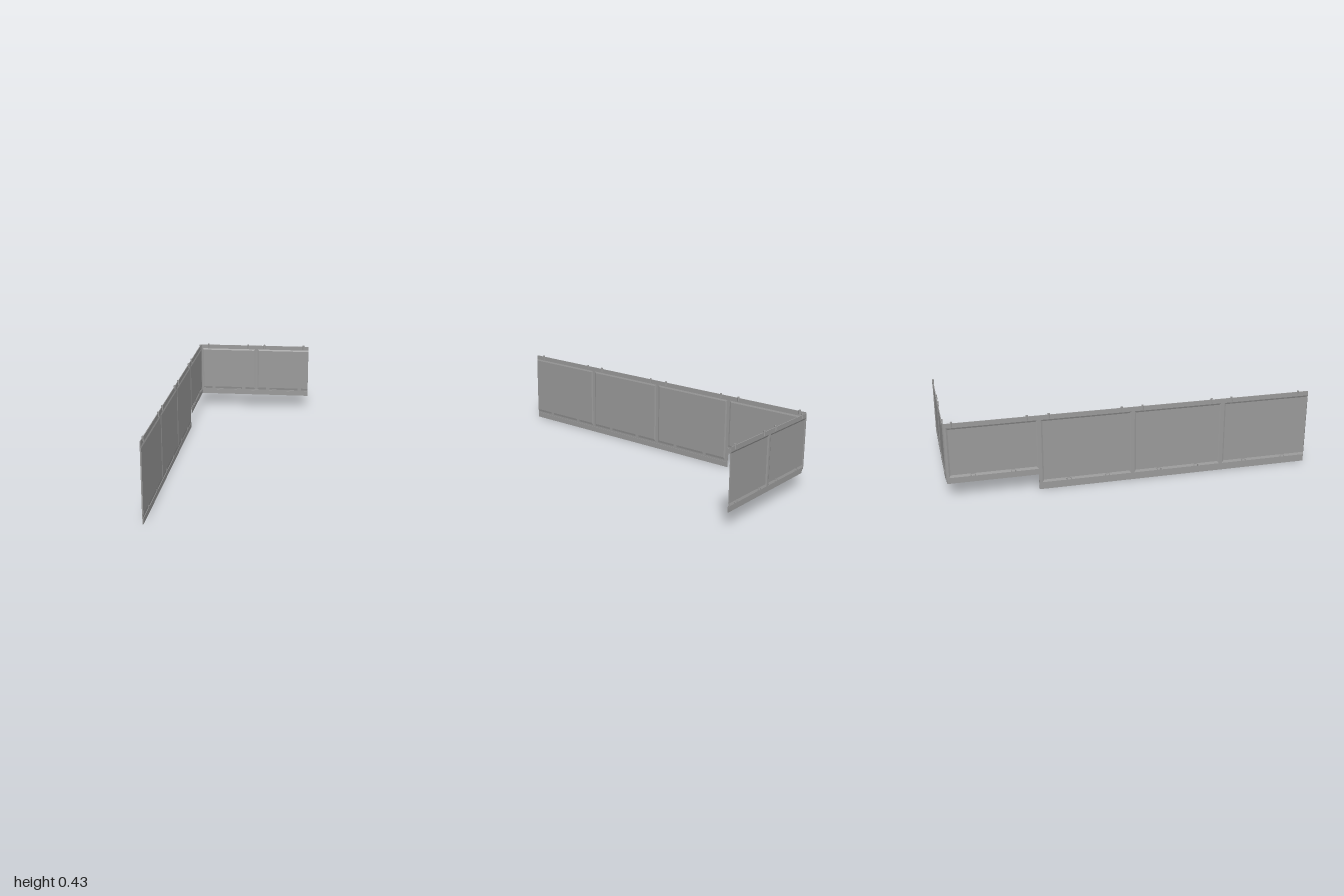
import * as THREE from 'three';

const mat = new THREE.MeshStandardMaterial({ color: 0x9a9a9a, flatShading: true, side: THREE.DoubleSide });
const TOP = 0.42, RIM = 0.395, BACK = -0.004, RAISE = 0.003;

function add(parent, name, geo) {
  const mesh = new THREE.Mesh(geo, mat);
  mesh.name = name;
  parent.add(mesh);
  return mesh;
}

// Box given by its extents along the wall (u), up (y) and from outside to inside (z)
function slab(parent, name, u0, u1, y0, y1, z0, z1) {
  const mesh = add(parent, name, new THREE.BoxGeometry(u1 - u0, y1 - y0, z1 - z0));
  mesh.position.set((u0 + u1) / 2, (y0 + y1) / 2, (z0 + z1) / 2);
}

// Sloping rim between the frame opening and the pressed panel
function rimGeometry(outer, inner, z0, z1) {
  const corners = ([a, b, c, d], z) => [[a, c, z], [b, c, z], [b, d, z], [a, d, z]];
  const o = corners(outer, z0), i = corners(inner, z1), pos = [];
  for (let k = 0; k < 4; k++) {
    const n = (k + 1) % 4;
    pos.push(...o[k], ...o[n], ...i[n], ...o[k], ...i[n], ...i[k]);
  }
  const geo = new THREE.BufferGeometry();
  geo.setAttribute('position', new THREE.Float32BufferAttribute(pos.flat(), 3));
  geo.computeVertexNormals();
  return geo;
}

// One panel pressed towards the inside; an open end has no slope
function bay(parent, u0, u1, y0, openLeft, openRight) {
  const s = 0.009;
  const outer = [u0, u1, y0, RIM];
  const inner = [u0 + (openLeft ? 0 : s), u1 - (openRight ? 0 : s), y0 + 0.013, RIM - s];
  add(parent, 'panelRim', rimGeometry(outer, inner, 0, RAISE));
  add(parent, 'panelRimBack', rimGeometry(outer, inner, BACK, 0));
  slab(parent, 'panel', ...inner, 0, RAISE);
}

// Small posts on the top edge
function topClips(parent, list) {
  for (const u of list) {
    const geo = new THREE.CylinderGeometry(0.0058, 0.0058, 0.027, 8).rotateY(Math.PI / 8);
    add(parent, 'topClip', geo).position.set(u, 0.4135, -0.001);
  }
}

// Tabs across the lower rim, each with a pair of lugs behind
function lowerTabs(parent, list, y) {
  for (const u of list) {
    slab(parent, 'lowerTab', u - 0.011, u + 0.011, y, y + 0.02, -0.001, RAISE);
    for (const d of [-0.011, 0.011])
      slab(parent, 'lowerLug', u + d - 0.003, u + d + 0.003, y, y + 0.016, -0.0055, 0);
  }
}

// Quarter-round corner sheet
function cornerSheet(parent, name, rOut, rIn, y0, y1) {
  const shape = new THREE.Shape();
  shape.absarc(0, 0, rOut, Math.PI / 2, Math.PI, false);
  shape.absarc(0, 0, rIn, Math.PI, Math.PI / 2, true);
  const geo = new THREE.ExtrudeGeometry(shape, { depth: y1 - y0, bevelEnabled: false, curveSegments: 4 });
  geo.rotateX(-Math.PI / 2);
  add(parent, name, geo).position.set(-0.342, y0, -0.979);
}

export function createModel() {
  const model = new THREE.Group();

  // Short back wall
  const back = new THREE.Group();
  back.name = 'backWall';
  back.position.z = -0.993;
  slab(back, 'topStrip', -0.342, 0.36, RIM, TOP, BACK, 0);
  slab(back, 'lowerRail', -0.342, 0.36, 0.108, 0.12, BACK, 0.003);
  slab(back, 'bottomStrip', -0.342, 0.36, 0.085, 0.113, 0.002, 0.005);
  slab(back, 'divider', 0.008, 0.022, 0.12, RIM, BACK, 0);
  bay(back, -0.347, 0.008, 0.12, false, false);
  bay(back, 0.022, 0.36, 0.12, false, true);
  topClips(back, [-0.305, -0.04, 0.068, 0.326]);
  lowerTabs(back, [-0.272, -0.07, 0.092, 0.305], 0.113);
  model.add(back);

  // Long side wall, with its last bay shortened at the bottom
  const side = new THREE.Group();
  side.name = 'sideWall';
  side.rotation.y = Math.PI / 2;
  side.position.x = -0.356;
  slab(side, 'topStrip', -1, 0.979, RIM, TOP, BACK, 0);
  slab(side, 'lowerRail', -1, 0.51, 0.028, 0.04, BACK, 0);
  slab(side, 'bottomStrip', -1, 0.51, 0, 0.03, -0.002, 0.002);
  slab(side, 'shortLowerRail', 0.51, 0.979, 0.108, 0.12, BACK, 0.003);
  slab(side, 'shortBottomStrip', 0.51, 0.979, 0.085, 0.113, 0.002, 0.005);
  for (const u of [-0.503, 0, 0.503]) slab(side, 'divider', u - 0.009, u + 0.009, 0.04, RIM, BACK, 0);
  bay(side, -1, -0.512, 0.04, true, false);
  bay(side, -0.494, -0.009, 0.04, false, false);
  bay(side, 0.009, 0.494, 0.04, false, false);
  bay(side, 0.512, 0.979, 0.12, false, false);
  topClips(side, [-0.94, -0.552, -0.438, -0.052, 0.062, 0.45, 0.565, 0.95]);
  lowerTabs(side, [-0.87, -0.64, -0.36, -0.15, 0.14, 0.35], 0.033);
  lowerTabs(side, [0.645, 0.855], 0.113);
  model.add(side);

  // Rounded corner joining both walls
  const corner = new THREE.Group();
  corner.name = 'corner';
  cornerSheet(corner, 'cornerSheet', 0.018, 0.014, 0.108, TOP);
  cornerSheet(corner, 'cornerBottom', 0.012, 0.009, 0.085, 0.113);
  model.add(corner);

  return model;
}
